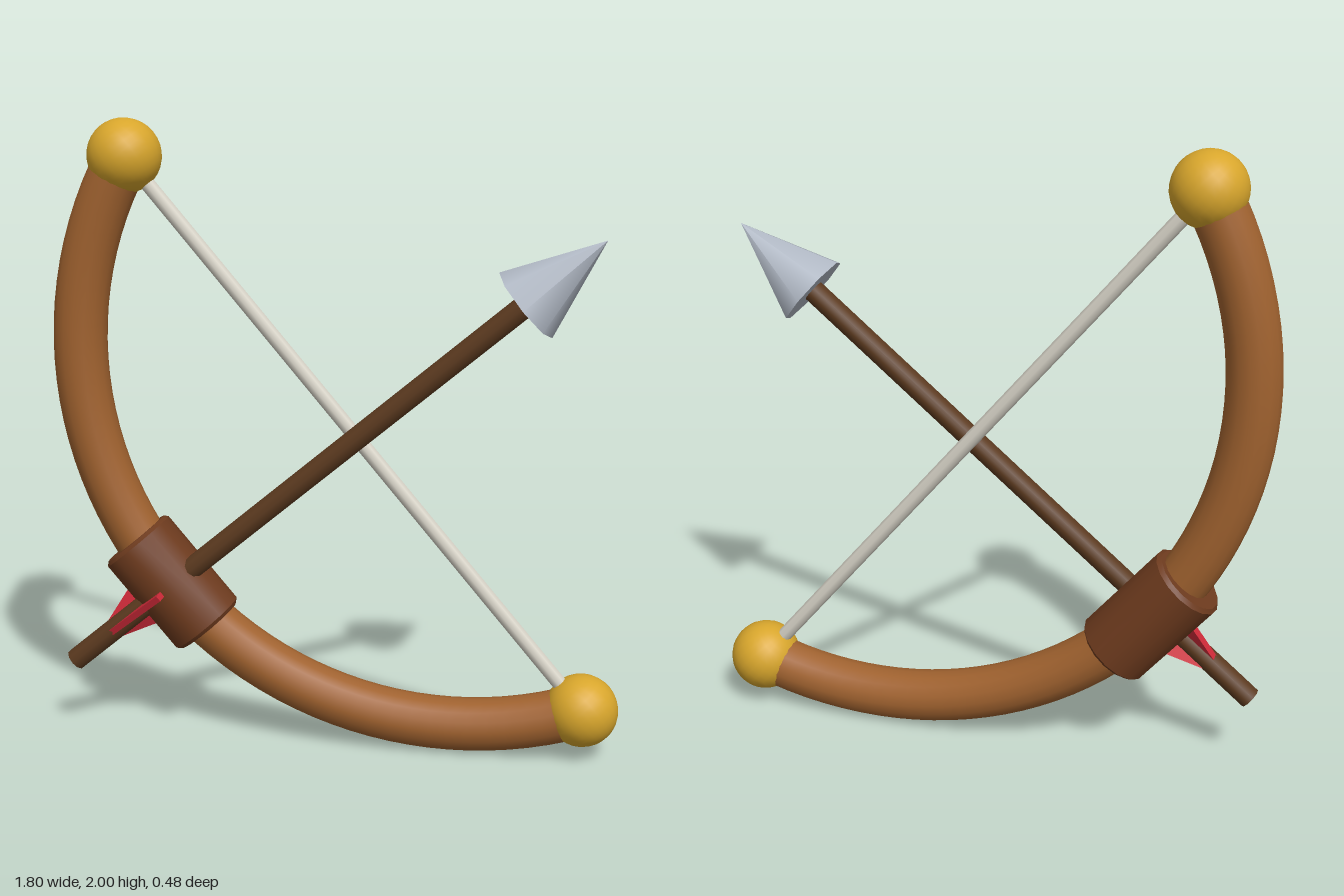
import * as THREE from 'three';
import { toCreasedNormals } from 'three/addons/utils/BufferGeometryUtils.js';

const mat = (name, color) => {
  const m = new THREE.MeshStandardMaterial({ color });
  m.name = name;
  return m;
};

export function createModel() {
  const wood = mat('bow wood', 0xa0622f);
  const leather = mat('grip leather', 0x6e3b1e);
  const darkWood = mat('shaft wood', 0x5c3a1f);
  const cord = mat('string cord', 0xd9d5c9);
  const gold = mat('gold', 0xd8a62c);
  const steel = mat('steel', 0xb2bac6);
  const red = mat('feather red', 0xcf2a38);

  const add = (parent, name, geometry, material, x = 0, y = 0, z = 0) => {
    const mesh = new THREE.Mesh(geometry, material);
    mesh.name = name;
    mesh.position.set(x, y, z);
    parent.add(mesh);
    return mesh;
  };

  // Bow frame: arrow flies along +x, string runs along y
  const weapon = new THREE.Group();
  weapon.name = 'bowAndArrow';
  weapon.position.set(0.06, 1.027, -0.02);
  weapon.rotation.set(0, 0.141, 0.7);

  // Curved limbs: one 140 degree arc
  const R = 1.2, half = THREE.MathUtils.degToRad(70);
  const centreX = R * Math.cos(half), tipY = R * Math.sin(half);
  const arc = new THREE.TorusGeometry(R, 0.085, 16, 48, half * 2);
  arc.rotateZ(Math.PI - half);
  add(weapon, 'bowLimbs', arc, wood, centreX);

  // Wrapped grip with slightly softened rims
  const r = 0.127, h = 0.185, b = 0.012;
  const profile = [[0, -h], [r - b, -h], [r, -h + b], [r, h - b], [r - b, h], [0, h]]
    .map(([x, y]) => new THREE.Vector2(x, y));
  add(weapon, 'grip', toCreasedNormals(new THREE.LatheGeometry(profile, 16), 0.6), leather, centreX - R);

  // Tip balls and string
  for (const side of [1, -1]) {
    add(weapon, side > 0 ? 'upperTip' : 'lowerTip',
      new THREE.SphereGeometry(0.116, 24, 16), gold, 0, side * tipY);
  }
  add(weapon, 'string', new THREE.CylinderGeometry(0.024, 0.024, tipY * 2, 8), cord);

  // Arrow lies just in front of the bow plane
  const arrow = new THREE.Group();
  arrow.name = 'arrow';
  arrow.position.z = 0.047;
  weapon.add(arrow);

  const tail = -1.21, headBase = 0.68, headTip = 0.99;
  const shaft = new THREE.CylinderGeometry(0.036, 0.036, headBase - tail + 0.04, 10);
  shaft.rotateZ(-Math.PI / 2);
  add(arrow, 'arrowShaft', shaft, darkWood, (headBase + tail) / 2 + 0.02);

  const head = new THREE.ConeGeometry(0.127, headTip - headBase, 8);
  head.rotateZ(-Math.PI / 2);
  add(arrow, 'arrowHead', head, steel, (headBase + headTip) / 2);

  // Three triangular feathers around the shaft
  const fin = new THREE.Shape();
  fin.moveTo(-1.07, 0.02);
  fin.lineTo(-0.79, 0.02);
  fin.lineTo(-0.79, 0.128);
  fin.closePath();
  const finGeometry = new THREE.ExtrudeGeometry(fin, { depth: 0.02, bevelEnabled: false });
  finGeometry.translate(0, 0, -0.01);
  for (let i = 0; i < 3; i++) {
    const feather = add(arrow, 'feather' + (i + 1), finGeometry, red);
    feather.rotation.x = Math.PI / 2 + (i * Math.PI * 2) / 3;
  }

  const model = new THREE.Group();
  model.name = 'bow';
  model.add(weapon);
  return model;
}
